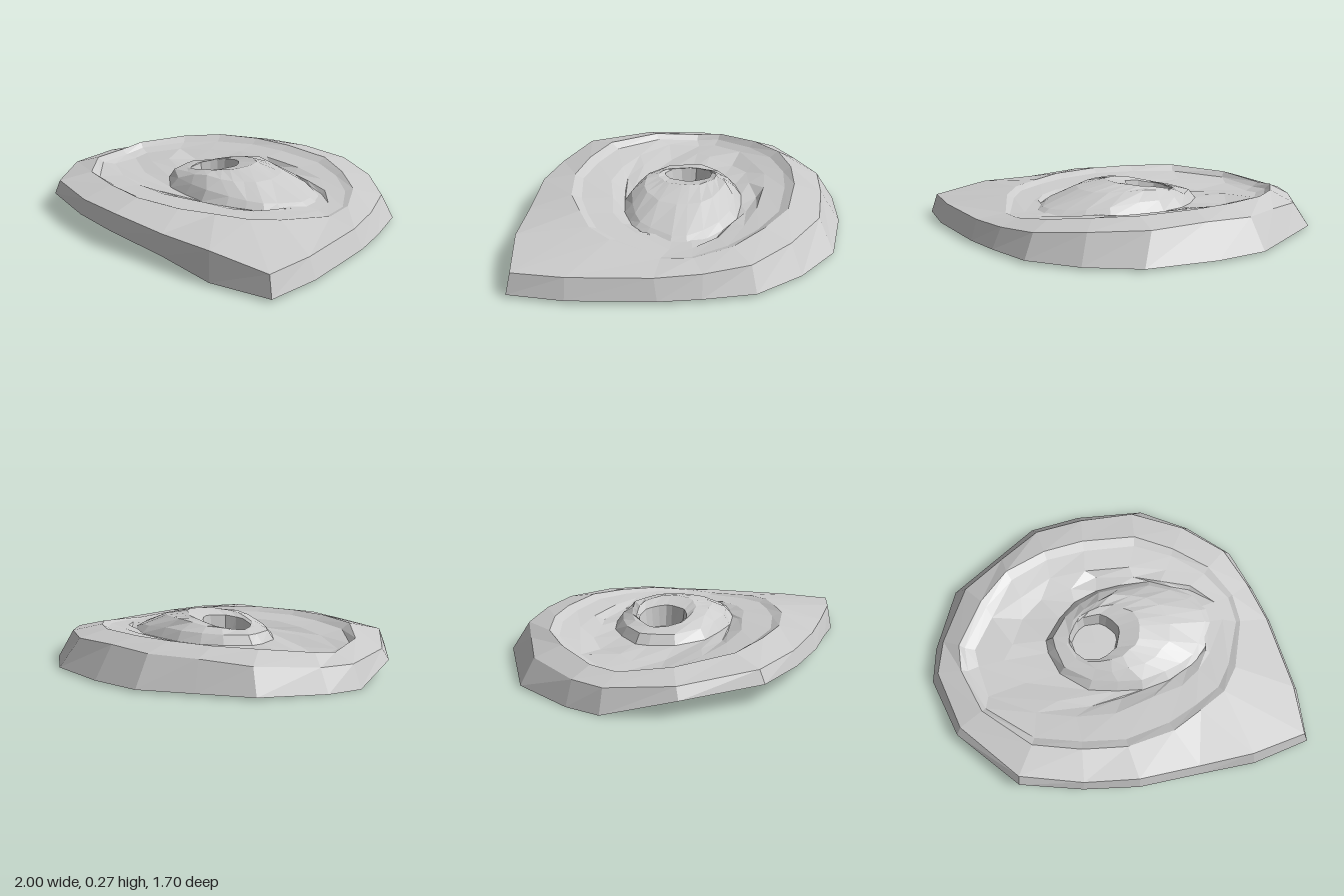
import * as THREE from 'three';

// outer shell: lower edge x, z, y, then upper rim x, z, y, going from +x towards +z
const OUTLINE = [
  [0.97, 0.06, 0.015, 0.93, 0.08, 0.12], [1.0, 0.5, 0.015, 0.96, 0.5, 0.12],
  [0.97, 0.79, 0.015, 0.94, 0.77, 0.12], [0.65, 0.845, 0.015, 0.63, 0.82, 0.16],
  [0.34, 0.845, 0.06, 0.33, 0.82, 0.16], [0, 0.845, 0.09, 0, 0.82, 0.18],
  [-0.3, 0.79, 0.09, -0.29, 0.77, 0.17], [-0.63, 0.69, 0.1, -0.62, 0.66, 0.17],
  [-0.91, 0.34, 0.08, -0.88, 0.32, 0.14], [-1, -0.02, 0, -0.95, -0.02, 0.12],
  [-0.95, -0.21, 0, -0.89, -0.2, 0.12], [-0.78, -0.53, 0.01, -0.71, -0.48, 0.14],
  [-0.52, -0.68, 0.01, -0.47, -0.61, 0.16], [-0.26, -0.83, 0.01, -0.24, -0.73, 0.17],
  [0.03, -0.85, 0.01, 0.03, -0.74, 0.18], [0.41, -0.8, 0.01, 0.33, -0.72, 0.17],
  [0.66, -0.63, 0.01, 0.6, -0.57, 0.16], [0.86, -0.41, 0.015, 0.8, -0.38, 0.14],
  [0.93, -0.15, 0.015, 0.88, -0.15, 0.125],
];
const N = OUTLINE.length;
const angles = OUTLINE.map(([x, z]) => Math.atan2(z / 0.85, x));

// elliptical ring; height and ripple follow the angle
function ring(cx, cz, rx, rz, height, ripple = 0) {
  return angles.map((a, i) => {
    const k = 1 + ripple * Math.sin(i * 2.4 + rx * 20);
    return [cx + rx * k * Math.cos(a), height(a, i), cz + rz * k * Math.sin(a)];
  });
}

// joins consecutive rings into one faceted surface
function loft(rings, name, material, capEnd) {
  const pos = rings.flat(2), index = [];
  for (let r = 0; r < rings.length - 1; r++) {
    for (let i = 0; i < N; i++) {
      const j = (i + 1) % N, a = r * N + i, b = r * N + j;
      index.push(a, a + N, b, b, a + N, b + N);
    }
  }
  if (capEnd) {
    const last = rings.at(-1), base = (rings.length - 1) * N;
    const mid = [0, 1, 2].map(k => last.reduce((s, p) => s + p[k], 0) / N);
    pos.push(...mid);
    for (let i = 0; i < N; i++) index.push(base + i, base + N, base + (i + 1) % N);
  }
  const g = new THREE.BufferGeometry();
  g.setAttribute('position', new THREE.Float32BufferAttribute(pos, 3));
  g.setIndex(index);
  const flat = g.toNonIndexed();
  flat.computeVertexNormals();
  const mesh = new THREE.Mesh(flat, material);
  mesh.name = name;
  return mesh;
}

export function createModel() {
  const group = new THREE.Group();
  group.name = 'rippledShell';
  const material = new THREE.MeshStandardMaterial({
    color: 0xcccccc, flatShading: true, side: THREE.DoubleSide,
  });
  const side = a => Math.abs(Math.sin(a));
  const left = a => Math.max(0, -Math.cos(a));
  const right = a => Math.max(0, Math.cos(a));

  // outer wall, crest and the fold inside it
  const lower = OUTLINE.map(([x, z, y]) => [x, y, z]);
  const rim = OUTLINE.map(p => [p[3], p[5], p[4]]);
  const crest = ring(-0.02, 0.02, 0.8, 0.62, a => 0.135 + 0.075 * side(a) + 0.02 * left(a), 0.015);
  const fold = ring(-0.02, 0.02, 0.77, 0.57, a => 0.13 + 0.055 * side(a), 0.015);
  const valley = ring(-0.04, 0, 0.7, 0.43, (a, i) => 0.135 + 0.035 * side(a) - 0.02 * left(a), 0.03);
  // uneven basin on the narrow side
  const basin = ring(0.02, 0, 0.57, 0.37, (a, i) => 0.145 - 0.02 * left(a) + 0.012 * Math.sin(i * 2.1), 0.05);
  const foot = ring(0.14, 0.01, 0.47, 0.32, a => 0.14 - 0.01 * left(a), 0.02);
  group.add(loft([lower, rim, crest, fold, valley, basin, foot], 'outerShell', material));

  // central mound with its sunken pit
  const shoulder = ring(0.14, 0.01, 0.43, 0.28, a => 0.195 - 0.035 * right(a) - 0.015 * left(a), 0.02);
  const top = ring(0.08, 0.01, 0.29, 0.22, a => 0.245 - 0.05 * left(a) - 0.01 * right(a), 0.03);
  const brow = ring(0.0, 0, 0.2, 0.16, a => 0.245 + 0.025 * right(a) - 0.05 * left(a), 0.03);
  const lip = ring(-0.06, 0, 0.14, 0.13, a => 0.22 + 0.02 * right(a) - 0.03 * left(a), 0.03);
  const floor = ring(-0.06, 0, 0.125, 0.115, () => 0.12, 0.03);
  group.add(loft([foot, shoulder, top, brow, lip, floor], 'centralMound', material, true));
  return group;
}
